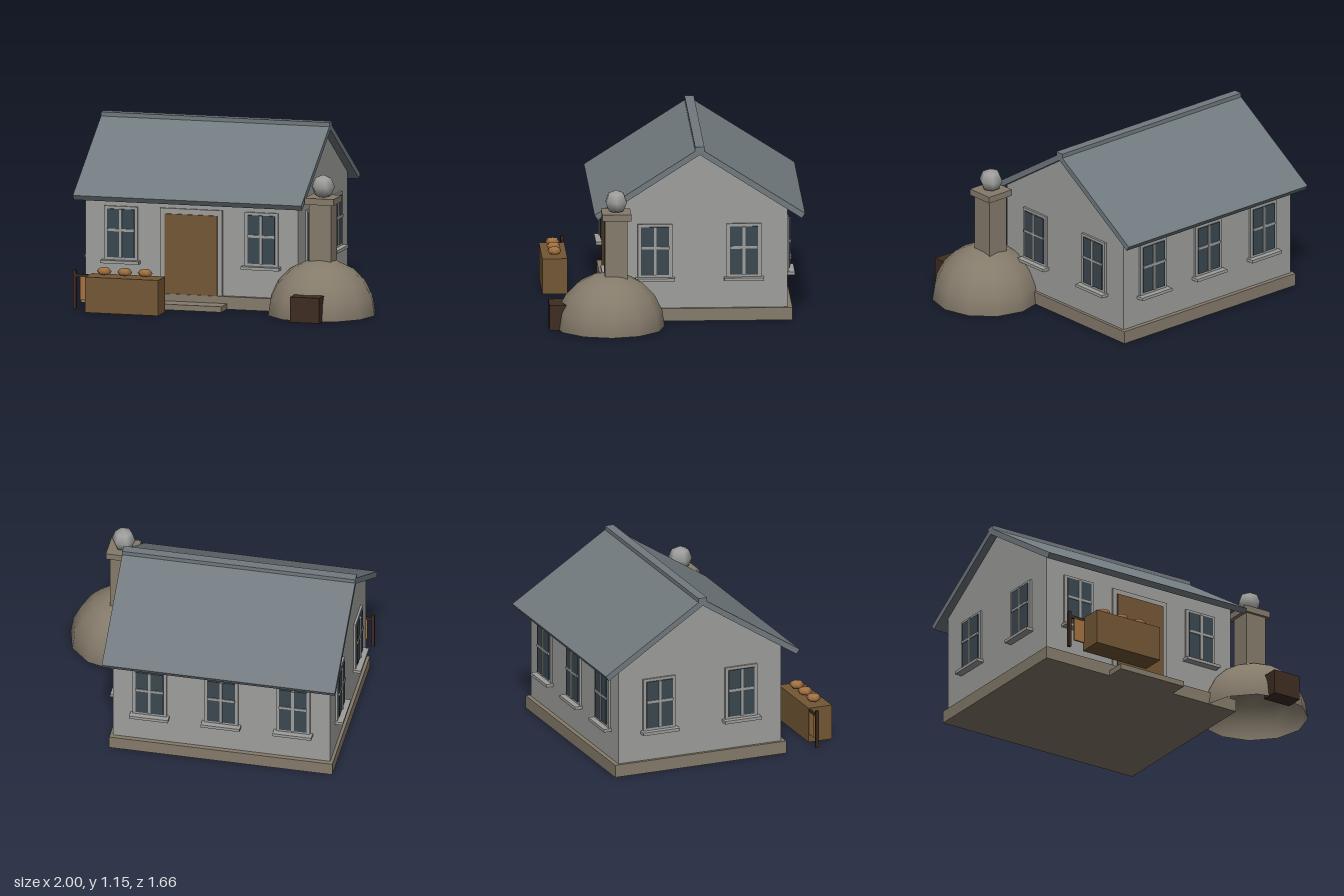
import * as THREE from 'three';

const mat = (name, color, side = THREE.FrontSide) => {
  const m = new THREE.MeshStandardMaterial({ color, side });
  m.name = name;
  return m;
};

export function createModel() {
  const plaster = mat('grey plaster', 0x9e9e9c);
  const slate = mat('slate', 0x717a7f);
  const stone = mat('tan stone', 0x857b6b);
  const clay = mat('oven clay', 0x857b6b, THREE.DoubleSide);
  const wood = mat('brown wood', 0x735735);
  const lightWood = mat('golden crust', 0xa37241);
  const darkWood = mat('dark wood', 0x3e2c22);
  const glass = mat('window glass', 0x3a4850);

  const root = new THREE.Group();
  root.name = 'bakehouse';

  const add = (parent, name, geometry, material, x = 0, y = 0, z = 0) => {
    const mesh = new THREE.Mesh(geometry, material);
    mesh.name = name;
    mesh.position.set(x, y, z);
    parent.add(mesh);
    return mesh;
  };
  // Box given by its lowest and highest corners
  const box = (parent, name, material, [x0, y0, z0], [x1, y1, z1]) =>
    add(parent, name, new THREE.BoxGeometry(x1 - x0, y1 - y0, z1 - z0), material,
      (x0 + x1) / 2, (y0 + y1) / 2, (z0 + z1) / 2);
  // Gable profile (depth, height) extruded along x, centred on the origin
  const extrudeX = (points, length) => {
    const shape = new THREE.Shape(points.map(([a, b]) => new THREE.Vector2(a, b)));
    const g = new THREE.ExtrudeGeometry(shape, { depth: length, bevelEnabled: false });
    return g.translate(0, 0, -length / 2).rotateY(Math.PI / 2);
  };

  // House: local origin at the middle of the floor plan
  const house = new THREE.Group();
  house.name = 'house';
  house.position.set(-0.235, 0, -0.15);
  root.add(house);
  const halfW = 0.715, halfD = 0.57, apex = 1.103, slope = 0.644;
  const eave = apex - slope * halfD;

  box(house, 'plinth', stone, [-0.735, 0, -0.6], [0.735, 0.083, 0.6]);
  add(house, 'walls', extrudeX([[-halfD, 0.083], [halfD, 0.083], [halfD, eave], [0, apex], [-halfD, eave]],
    halfW * 2), plaster);

  // Roof: two sloping slabs with square-cut eaves, and a ridge cap
  add(house, 'roof', extrudeX([
    [-0.68, 0.711], [-0.659, 0.679], [0, apex], [0.659, 0.679], [0.68, 0.711], [0, 1.147],
  ], 1.535), slate);
  box(house, 'ridgeCap', slate, [-0.7675, 1.115, -0.03], [0.7675, 1.155, 0.03]);

  // Windows: frame, glass, glazing bars and sill, facing local +z
  const addWindow = (x, z, angle) => {
    const w = new THREE.Group();
    w.name = 'window';
    w.position.set(x, 0, z);
    w.rotation.y = angle;
    house.add(w);
    box(w, 'frame', plaster, [-0.112, 0.287, -0.01], [0.112, 0.638, 0.014]);
    box(w, 'glass', glass, [-0.091, 0.304, 0.014], [0.091, 0.62, 0.021]);
    box(w, 'verticalBar', plaster, [-0.009, 0.304, 0.014], [0.009, 0.62, 0.028]);
    box(w, 'crossBar', plaster, [-0.091, 0.475, 0.014], [0.091, 0.492, 0.027]);
    box(w, 'sill', plaster, [-0.128, 0.267, -0.005], [0.128, 0.287, 0.052]);
  };
  for (const x of [-0.472, 0.472]) addWindow(x, halfD, 0);
  for (const x of [-0.472, 0, 0.472]) addWindow(x, -halfD, Math.PI);
  for (const side of [-1, 1])
    for (const z of [-0.287, 0.287]) addWindow(side * halfW, z, side * Math.PI / 2);

  // Door, surround and step
  box(house, 'doorFrame', plaster, [-0.209, 0.083, halfD - 0.01], [0.209, 0.64, halfD + 0.014]);
  box(house, 'door', wood, [-0.177, 0.083, halfD], [0.177, 0.605, halfD + 0.023]);
  box(house, 'doorStep', stone, [-0.245, 0, 0.59], [0.245, 0.037, 0.73]);

  // Outdoor oven: open-bottomed dome, mouth, chimney and ball finial
  const oven = new THREE.Group();
  oven.name = 'oven';
  oven.position.set(0.643, 0, 0.437);
  root.add(oven);
  add(oven, 'dome', new THREE.SphereGeometry(0.356, 12, 5, 0, Math.PI * 2, 0, Math.PI / 2), clay);
  box(oven, 'ovenMouth', darkWood, [-0.098, 0, 0.27], [0.098, 0.165, 0.393]);
  box(oven, 'chimney', stone, [-0.075, 0.25, -0.112], [0.072, 0.715, 0.034]);
  box(oven, 'chimneyCap', stone, [-0.1, 0.715, -0.136], [0.096, 0.757, 0.052]);
  add(oven, 'finial', new THREE.SphereGeometry(0.078, 6, 4), plaster, -0.002, 0.823, -0.042);

  // Bread counter with three loaves
  const stall = new THREE.Group();
  stall.name = 'breadStall';
  root.add(stall);
  box(stall, 'counter', wood, [-0.833, 0, 0.665], [-0.342, 0.232, 0.828]);
  for (const x of [-0.728, -0.59, -0.453]) {
    const loaf = add(stall, 'loaf', new THREE.SphereGeometry(0.05, 6, 4), lightWood, x, 0.262, 0.745);
    loaf.scale.y = 0.55;
  }

  // Hanging sign beside the counter
  box(stall, 'signPost', darkWood, [-0.955, 0, 0.665], [-0.935, 0.25, 0.685]);
  box(stall, 'signArm', darkWood, [-0.955, 0.206, 0.668], [-0.82, 0.224, 0.682]);
  box(stall, 'signBoard', lightWood, [-0.908, 0.055, 0.669], [-0.78, 0.206, 0.681]);

  return root;
}
